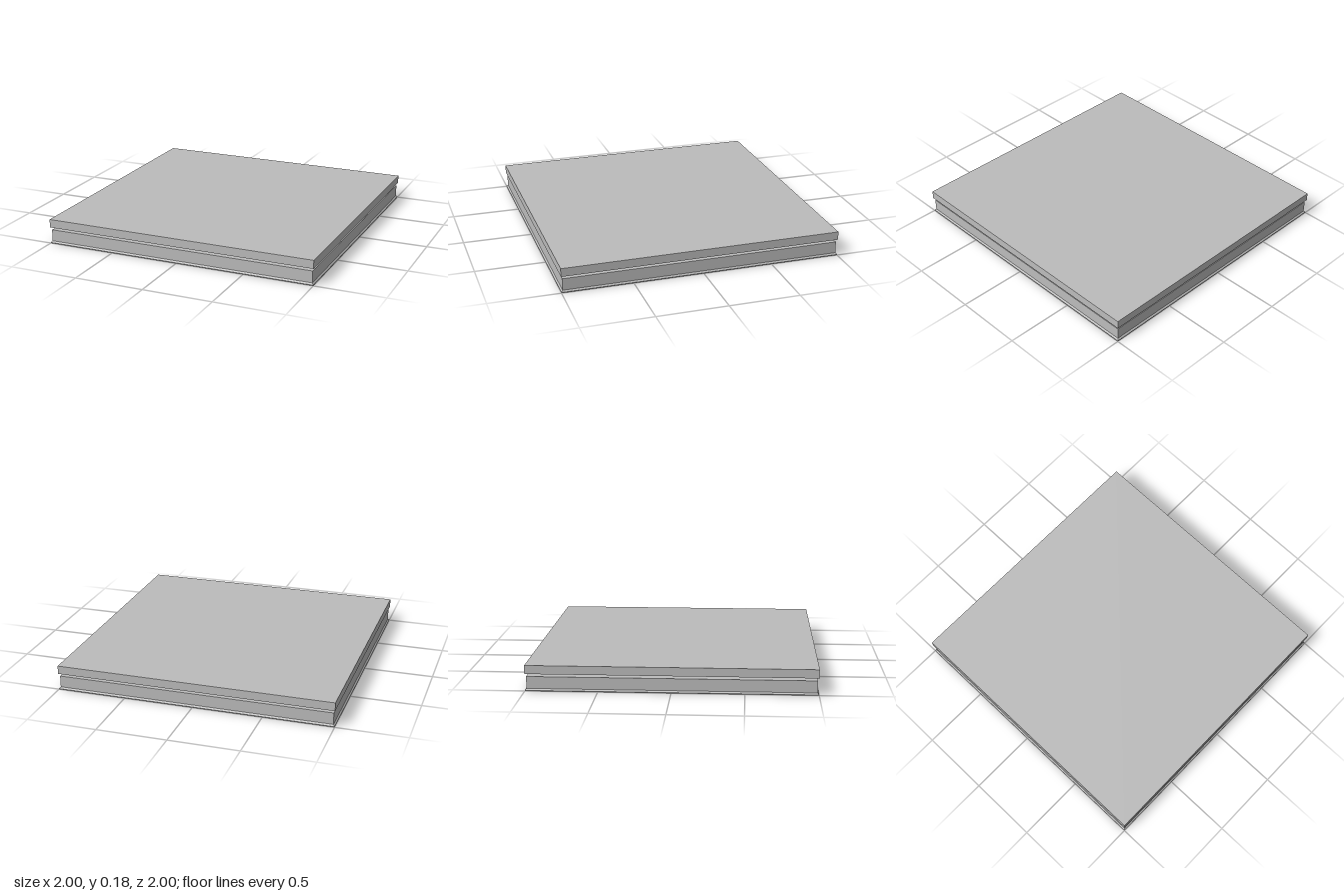
import * as THREE from 'three';

const plaster = new THREE.MeshStandardMaterial({ color: 0xbcbcbc });
plaster.name = 'grey plaster';

function addMesh(parent, name, geometry) {
  const mesh = new THREE.Mesh(geometry, plaster);
  mesh.name = name;
  parent.add(mesh);
  return mesh;
}

// Sweeps a [half width, height] profile around a square, with crisp faces
function squareSweep(profile) {
  const points = profile.map(([w, y]) => new THREE.Vector2(w * Math.SQRT2, y));
  const geometry = new THREE.LatheGeometry(points, 4, Math.PI / 4).toNonIndexed();
  geometry.computeVertexNormals();
  return geometry;
}

export function createModel() {
  const model = new THREE.Group();
  model.name = 'ceilingTile';

  // Flat slab on top
  addMesh(model, 'slab', new THREE.BoxGeometry(2, 0.06, 2)).position.y = 0.15;

  // Recessed panel with a bevelled collar joining it to the slab
  addMesh(model, 'ceilingPanel', squareSweep([
    [0, 0.105], [0.865, 0.105], [0.875, 0.1], [0.9, 0.1], [0.905, 0.103], [0.88, 0.112], [0.88, 0.12],
  ]));

  // Square frame with a flared foot and a sloping lower lip
  addMesh(model, 'frame', squareSweep([
    [0.985, 0], [1, 0], [1, 0.005], [0.99, 0.016], [0.99, 0.1],
    [0.9, 0.1], [0.9, 0.02], [0.915, 0.016], [0.985, 0],
  ]));

  // Round ceiling rose under the centre of the panel
  const rose = new THREE.Group();
  rose.name = 'ceilingRose';
  model.add(rose);
  const profile = [
    [0, 0.07], [0.02, 0.071], [0.032, 0.078], [0.036, 0.088], [0.05, 0.09],
    [0.1, 0.09], [0.108, 0.083], [0.122, 0.08], [0.134, 0.083], [0.14, 0.091],
    [0.165, 0.094], [0.185, 0.098], [0.197, 0.106],
  ].map(([r, y]) => new THREE.Vector2(r, y));
  addMesh(rose, 'roseMoulding', new THREE.LatheGeometry(profile, 48));

  // Ring of small beads
  const bead = new THREE.SphereGeometry(0.014, 12, 8);
  for (let i = 0; i < 10; i++) {
    const a = (i / 10) * Math.PI * 2;
    const mesh = addMesh(rose, 'roseBead', bead);
    mesh.position.set(Math.cos(a) * 0.075, 0.089, Math.sin(a) * 0.075);
    mesh.scale.y = 0.6;
  }
  return model;
}
